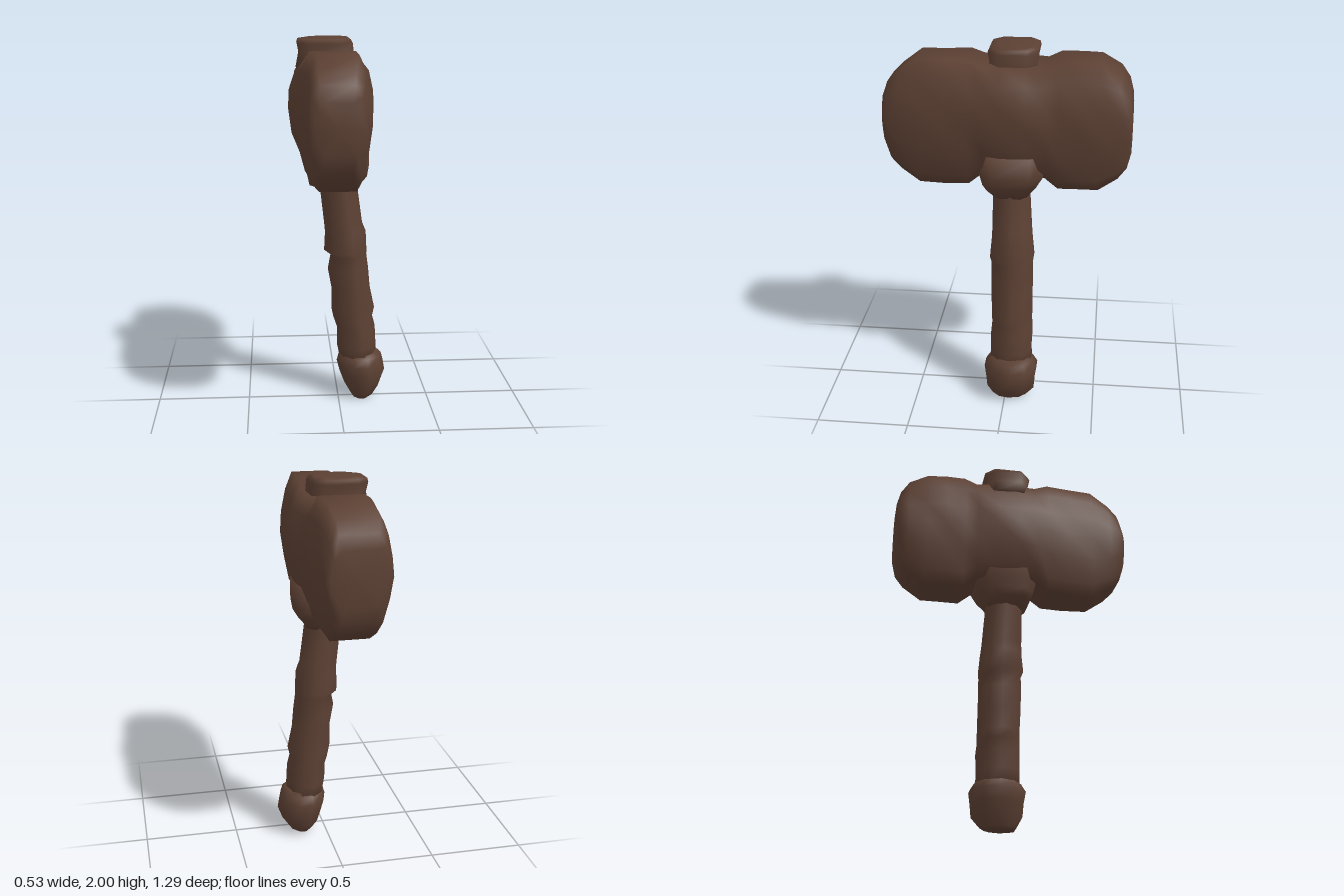
import * as THREE from 'three';

// Skin a closed outline along an axis.
// Each ring is [w, uMin, uMax, vMin, vMax]; place(u, v, w) returns [x, y, z].
function loft(outline, rings, place, rough = 0) {
  const n = outline.length, pos = [], index = [];
  rings.forEach(([w, u0, u1, v0, v1], i) => {
    outline.forEach(([u, v], j) => {
      const chip = 1 + rough * Math.sin(i * 2.3 + j * 4.1);
      pos.push(...place((u0 + u1) / 2 + u * chip * (u1 - u0) / 2, (v0 + v1) / 2 + v * (v1 - v0) / 2, w));
    });
  });
  for (let i = 0; i < rings.length - 1; i++) {
    for (let j = 0; j < n; j++) {
      const a = i * n + j, b = i * n + (j + 1) % n;
      index.push(a, b, b + n, a, b + n, a + n);
    }
  }
  // end caps
  for (const i of [0, rings.length - 1]) {
    const [w, u0, u1, v0, v1] = rings[i], c = pos.length / 3;
    pos.push(...place((u0 + u1) / 2, (v0 + v1) / 2, w));
    for (let j = 0; j < n; j++) {
      const a = i * n + j, b = i * n + (j + 1) % n;
      index.push(c, ...(i ? [a, b] : [b, a]));
    }
  }
  const g = new THREE.BufferGeometry();
  g.setAttribute('position', new THREE.Float32BufferAttribute(pos, 3));
  g.setIndex(index);
  g.computeVertexNormals();
  return g;
}

export function createModel() {
  const group = new THREE.Group();
  const wood = new THREE.MeshStandardMaterial({ color: 0x5c4033 });
  wood.name = 'dark brown';
  const add = (name, geometry) => {
    const mesh = new THREE.Mesh(geometry, wood);
    mesh.name = name;
    group.add(mesh);
  };

  const alongZ = (u, v, w) => [u, v, w];
  const alongY = (u, v, w) => [v, w, u];

  // Head outline: flat top and bottom, bulging sides
  const half = [[0.55, -1], [0.74, -0.82], [0.93, -0.4], [1, 0], [0.98, 0.35], [0.85, 0.72], [0.6, 1]];
  const headOutline = [...half, ...half.map(([u, v]) => [-u, v]).reverse()];
  add('head', loft(headOutline, [
    [-0.645, -0.17, 0.10, 1.46, 1.75],
    [-0.625, -0.20, 0.12, 1.38, 1.82],
    [-0.58, -0.22, 0.13, 1.32, 1.88],
    [-0.48, -0.22, 0.15, 1.26, 1.94],
    [-0.38, -0.235, 0.155, 1.26, 1.94],
    [-0.27, -0.23, 0.16, 1.26, 1.94],
    [-0.20, -0.245, 0.165, 1.32, 1.905],
    [-0.10, -0.26, 0.19, 1.33, 1.91],
    [0.03, -0.26, 0.19, 1.33, 1.91],
    [0.13, -0.245, 0.17, 1.33, 1.915],
    [0.20, -0.235, 0.16, 1.27, 1.94],
    [0.32, -0.22, 0.15, 1.265, 1.94],
    [0.46, -0.20, 0.14, 1.27, 1.94],
    [0.56, -0.19, 0.12, 1.335, 1.865],
    [0.615, -0.18, 0.10, 1.39, 1.81],
    [0.645, -0.15, 0.08, 1.48, 1.73],
  ], alongZ, 0.025));

  // Round and squared outlines for the upright parts
  const round = Array.from({ length: 10 }, (_, i) => {
    const a = (i + 0.5) / 10 * Math.PI * 2;
    return [Math.cos(a) * 1.04, Math.sin(a) * 1.04];
  });
  const square = [[1, -0.6], [1, 0.6], [0.6, 1], [-0.6, 1], [-1, 0.6], [-1, -0.6], [-0.6, -1], [0.6, -1]];

  add('topPeg', loft(square, [
    [1.84, -0.16, 0.11, -0.22, 0.09],
    [1.92, -0.15, 0.09, -0.205, 0.08],
    [1.97, -0.16, 0.10, -0.215, 0.075],
    [1.99, -0.155, 0.09, -0.21, 0.065],
    [2.0, -0.13, 0.05, -0.15, 0.05],
  ], alongY));

  add('collar', loft(square, [
    [1.20, -0.11, 0.07, -0.09, 0.10],
    [1.225, -0.13, 0.105, -0.155, 0.11],
    [1.27, -0.16, 0.125, -0.165, 0.15],
    [1.33, -0.195, 0.14, -0.18, 0.16],
    [1.45, -0.20, 0.15, -0.21, 0.16],
  ], alongY));

  // Handle leans toward +x as it goes down, with carved steps
  add('handle', loft(round, [
    [0.20, -0.15, 0.08, 0.02, 0.21],
    [0.30, -0.145, 0.08, 0.00, 0.21],
    [0.40, -0.15, 0.08, 0.00, 0.205],
    [0.46, -0.145, 0.075, -0.02, 0.19],
    [0.51, -0.145, 0.075, -0.03, 0.20],
    [0.63, -0.145, 0.08, -0.03, 0.175],
    [0.74, -0.145, 0.08, -0.05, 0.165],
    [0.82, -0.145, 0.08, -0.035, 0.155],
    [0.845, -0.15, 0.09, -0.07, 0.155],
    [0.95, -0.14, 0.08, -0.065, 0.15],
    [1.00, -0.135, 0.078, -0.07, 0.13],
    [1.22, -0.12, 0.075, -0.095, 0.10],
    [1.35, -0.12, 0.075, -0.105, 0.09],
  ], alongY));

  add('pommel', loft(round, [
    [0.0, -0.10, 0.06, 0.08, 0.18],
    [0.015, -0.12, 0.07, 0.07, 0.20],
    [0.07, -0.165, 0.10, 0.04, 0.235],
    [0.14, -0.17, 0.105, 0.015, 0.26],
    [0.20, -0.18, 0.115, 0.00, 0.25],
    [0.24, -0.155, 0.09, 0.01, 0.24],
    [0.265, -0.13, 0.06, 0.03, 0.215],
  ], alongY));

  return group;
}
